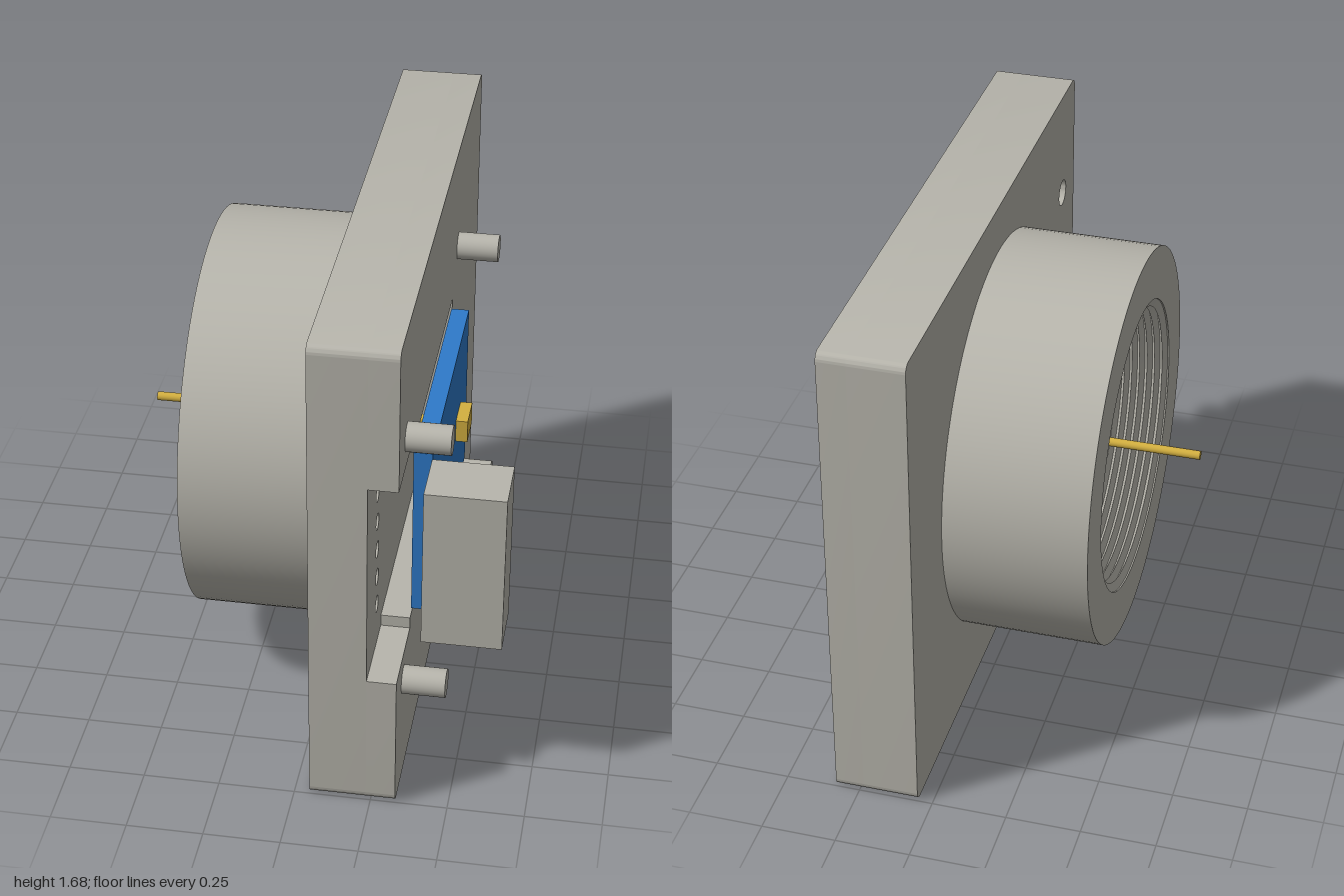
import * as THREE from 'three';
import { toCreasedNormals } from 'three/addons/utils/BufferGeometryUtils.js';

const gray = new THREE.MeshStandardMaterial({ color: 0xb8b6ad });
const blue = new THREE.MeshStandardMaterial({ color: 0x2e7aca });
const gold = new THREE.MeshStandardMaterial({ color: 0xd4b040 });
gray.name = 'warm gray';
blue.name = 'board blue';
gold.name = 'gold';

const MID = 0.84; // height of the central axis

export function createModel() {
  const model = new THREE.Group();

  const add = (name, geometry, material) => {
    const mesh = new THREE.Mesh(geometry, material);
    mesh.name = name;
    model.add(mesh);
    return mesh;
  };

  // Box given by its limits on each axis
  const box = (name, [x0, x1], [y0, y1], [z0, z1], material) =>
    add(name, new THREE.BoxGeometry(x1 - x0, y1 - y0, z1 - z0), material)
      .position.set((x0 + x1) / 2, (y0 + y1) / 2, (z0 + z1) / 2);

  // Round rod lying along x
  const rod = (name, x0, x1, y, z, r, material) => {
    const g = new THREE.CylinderGeometry(r, r, x1 - x0, 32).rotateZ(Math.PI / 2);
    add(name, g, material).position.set((x0 + x1) / 2, y, z);
  };

  // Slab drawn in (-z, y) and extruded along +x
  const slab = (name, shape, x0, x1) => {
    const g = new THREE.ExtrudeGeometry(shape, { depth: x1 - x0, bevelEnabled: false, curveSegments: 16 });
    g.rotateY(Math.PI / 2).translate(x0, 0, 0);
    add(name, toCreasedNormals(g, 0.6), gray);
  };

  // Square plate outline with rounded corners, optionally notched from the front edge
  const plateShape = (notched) => {
    const r = 0.03, h = 1.68, s = new THREE.Shape();
    s.moveTo(-1 + r, 0);
    s.lineTo(1 - r, 0);
    s.absarc(1 - r, r, r, -Math.PI / 2, 0);
    s.lineTo(1, h - r);
    s.absarc(1 - r, h - r, r, 0, Math.PI / 2);
    s.lineTo(-1 + r, h);
    s.absarc(-1 + r, h - r, r, Math.PI / 2, Math.PI);
    if (notched) {
      [[-1, 1.2], [-0.7, 1.2], [-0.7, 1.165], [0.26, 1.165],
        [0.26, 0.52], [-0.7, 0.52], [-0.7, 0.48], [-1, 0.48]].forEach(([u, v]) => s.lineTo(u, v));
    }
    s.lineTo(-1, r);
    s.absarc(-1 + r, r, r, Math.PI, Math.PI * 1.5);
    return s;
  };
  const punch = (shape, z, y, r) => {
    const hole = new THREE.Path();
    hole.absarc(-z, y, r, 0, Math.PI * 2, true);
    shape.holes.push(hole);
  };

  // Plate: drilled back layer and pocketed face layer
  const back = plateShape(false);
  for (let i = -2; i <= 2; i++) punch(back, 0.79, MID + i * 0.105, 0.028);
  for (const y of [0.38, 1.3]) punch(back, 0.84, y, 0.047);
  slab('plateBack', back, 0.05, 0.235);
  slab('plateFace', plateShape(true), 0.235, 0.33);

  // Round collar with a blind threaded bore
  const profile = [[0.68, -0.05], [0.68, 0.43], [0.5, 0.43]];
  const turns = 9, pitch = 0.027;
  for (let i = 0; i < turns; i++) {
    const y = 0.425 - i * pitch;
    profile.push([0.5, y], [0.472, y - pitch / 2]);
  }
  profile.push([0.47, 0.175], [0.47, 0.125], [0, 0.125]);
  const collar = new THREE.LatheGeometry(profile.map(([r, y]) => new THREE.Vector2(r, y)), 96);
  collar.rotateZ(Math.PI / 2);
  add('threadedCollar', toCreasedNormals(collar, 0.5), gray).position.y = MID;

  // Centre contact pin
  rod('contactPin', -0.65, 0.33, MID, 0, 0.015, gold);

  // Mounting studs
  for (const y of [0.38, 1.3]) {
    for (const z of [0.84, -0.4]) rod('mountingStud', 0.235, 0.47, y, z, 0.047, gray);
  }

  // Circuit board with its chip and edge connector
  box('circuitBoard', [0.33, 0.39], [0.545, 1.14], [-0.24, 0.68], blue);
  box('chip', [0.39, 0.43], [0.803, 0.883], [-0.06, 0.065], gold);
  box('edgeConnector', [0.388, 0.645], [0.563, 1.12], [0.678, 0.877], gray);

  return model;
}
